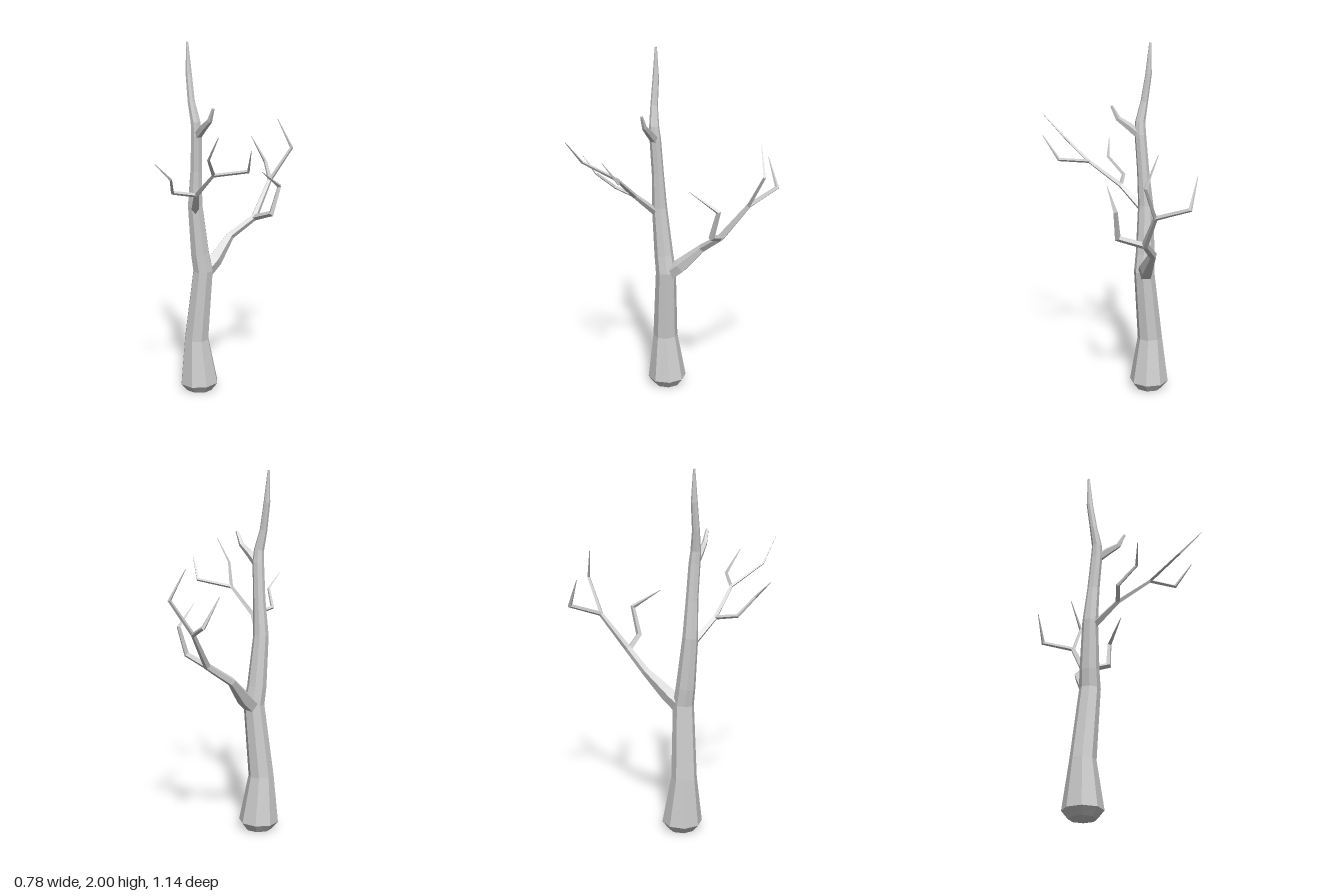
import * as THREE from 'three';

// Tapered, mitred limb through [x, y, z, radius] points
function limb(name, points, sides, twist = 0) {
  const P = points.map(p => new THREE.Vector3(p[0], p[1], p[2]));
  const n = P.length;
  const dirs = P.slice(1).map((p, i) => p.clone().sub(P[i]).normalize());
  const ref = Math.abs(dirs[0].y) > 0.9 ? new THREE.Vector3(1, 0, 0) : new THREE.Vector3(0, 1, 0);
  const u = ref.addScaledVector(dirs[0], -ref.dot(dirs[0])).normalize();
  const pos = [], index = [];
  for (let i = 0; i < n; i++) {
    const d = dirs[Math.max(i - 1, 0)], next = dirs[Math.min(i, n - 2)];
    const miter = d.clone().add(next).normalize();
    const v = new THREE.Vector3().crossVectors(d, u);
    for (let s = 0; s < sides; s++) {
      const a = twist + (s / sides) * Math.PI * 2;
      const o = u.clone().multiplyScalar(Math.cos(a)).addScaledVector(v, Math.sin(a)).multiplyScalar(points[i][3]);
      o.addScaledVector(d, -o.dot(miter) / d.dot(miter)).add(P[i]);
      pos.push(o.x, o.y, o.z);
      if (i < n - 1) {
        const A = i * sides + s, B = i * sides + (s + 1) % sides;
        index.push(A, B, B + sides, A, B + sides, A + sides);
      }
    }
    u.applyQuaternion(new THREE.Quaternion().setFromUnitVectors(d, next));
  }
  // End caps
  for (let s = 1; s < sides - 1; s++) {
    const e = (n - 1) * sides;
    index.push(0, s + 1, s, e, e + s, e + s + 1);
  }
  const geo = new THREE.BufferGeometry();
  geo.setAttribute('position', new THREE.Float32BufferAttribute(pos, 3));
  geo.setIndex(index);
  const flat = geo.toNonIndexed();
  flat.computeVertexNormals();
  const mesh = new THREE.Mesh(flat, new THREE.MeshStandardMaterial({ color: 0xcccccc, flatShading: true }));
  mesh.name = name;
  return mesh;
}

export function createModel() {
  const tree = new THREE.Group();
  tree.name = 'bareTree';

  // Trunk: flared foot, gentle sway, thin top
  tree.add(limb('trunk', [
    [-0.163, 0, -0.09, 0.075], [-0.163, 0.045, -0.09, 0.111],
    [-0.177, 0.31, -0.086, 0.071], [-0.138, 0.72, -0.068, 0.058],
    [-0.155, 0.82, -0.064, 0.054], [-0.18, 1.1, -0.05, 0.043],
    [-0.173, 1.3, -0.036, 0.034], [-0.17, 1.5, -0.019, 0.032],
    [-0.175, 1.57, -0.015, 0.028], [-0.197, 1.68, -0.027, 0.021],
    [-0.21, 1.83, -0.045, 0.018], [-0.217, 2, -0.05, 0.006],
  ], 8, Math.PI / 8));

  // Short spur near the top
  tree.add(limb('upperSpur', [
    [-0.17, 1.49, -0.02, 0.026], [-0.135, 1.545, 0.035, 0.022],
    [-0.1, 1.59, 0.085, 0.015], [-0.08, 1.66, 0.113, 0.008],
  ], 5));

  // Thick limb reaching to the back left, with its twigs
  const back = new THREE.Group();
  back.name = 'backBranch';
  back.add(
    limb('backLimb', [
      [-0.145, 0.69, -0.07, 0.045], [-0.07, 0.765, -0.125, 0.043],
      [0.02, 0.885, -0.215, 0.024], [0.16, 0.985, -0.25, 0.02],
      [0.255, 1.18, -0.37, 0.013], [0.24, 1.25, -0.56, 0.011], [0.155, 1.405, -0.555, 0.002],
    ], 5),
    limb('backTwigOuter', [
      [0.25, 1.17, -0.365, 0.012], [0.38, 1.365, -0.38, 0.009], [0.3, 1.528, -0.408, 0.002],
    ], 4),
    limb('backTwigInner', [
      [0.155, 0.98, -0.25, 0.018], [0.25, 1.03, -0.135, 0.016],
      [0.295, 1.185, -0.15, 0.012], [0.19, 1.288, -0.03, 0.002],
    ], 4),
  );
  tree.add(back);

  // Slender branch reaching forward, with its twigs
  const front = new THREE.Group();
  front.name = 'frontBranch';
  front.add(
    limb('frontLimb', [
      [-0.18, 1.07, -0.03, 0.022], [-0.173, 1.19, 0.11, 0.014],
      [-0.082, 1.33, 0.267, 0.01], [-0.11, 1.445, 0.455, 0.007], [-0.062, 1.577, 0.57, 0.002],
    ], 4),
    limb('frontTwigRight', [
      [-0.17, 1.19, 0.11, 0.012], [-0.3, 1.218, 0.17, 0.01],
      [-0.305, 1.31, 0.28, 0.008], [-0.385, 1.4, 0.322, 0.002],
    ], 4),
    limb('frontTwigLeft', [
      [-0.085, 1.328, 0.265, 0.01], [0.097, 1.365, 0.345, 0.009], [0.107, 1.49, 0.443, 0.002],
    ], 4),
  );
  tree.add(front);
  return tree;
}
